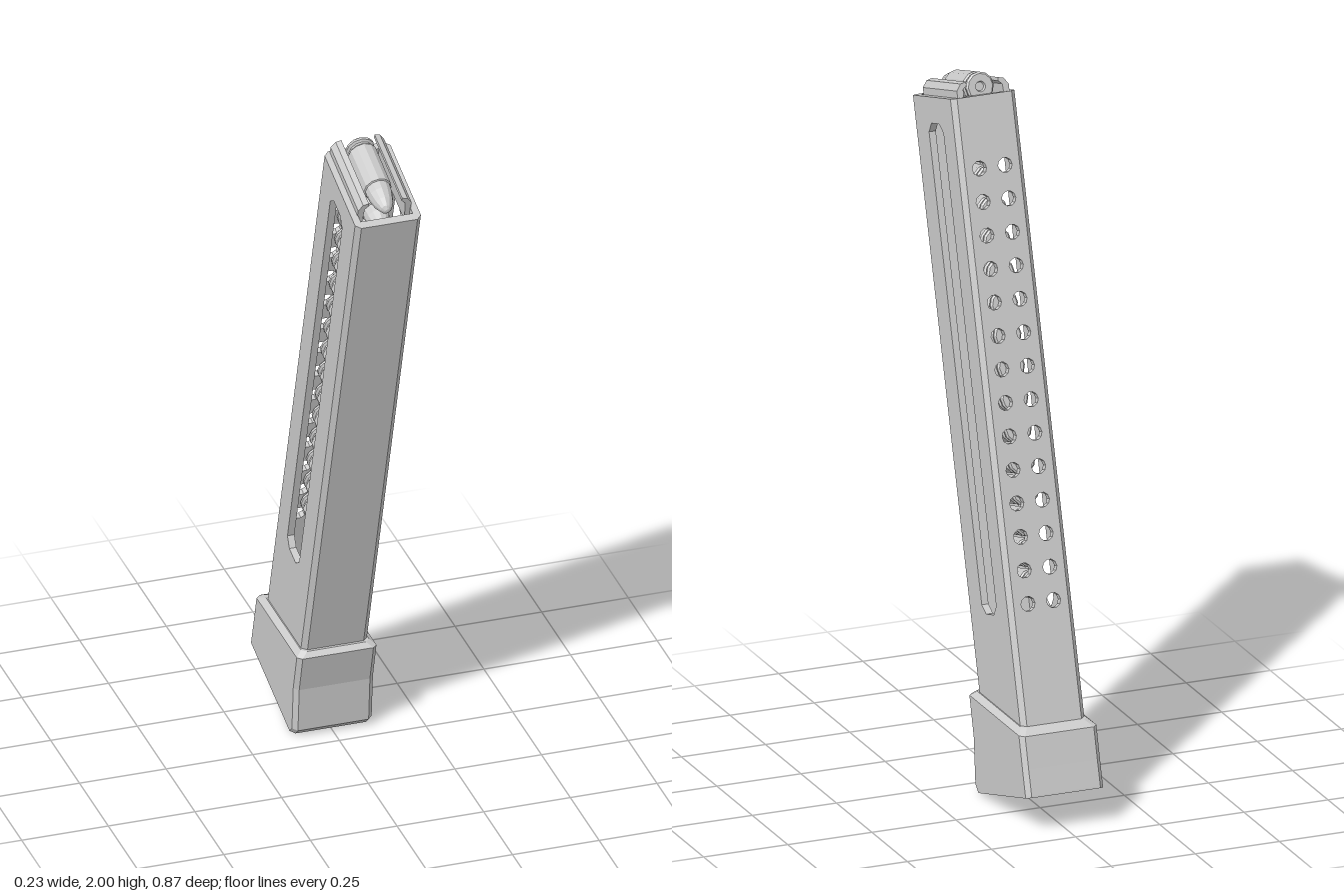
import * as THREE from 'three';

const mat = new THREE.MeshStandardMaterial({ color: 0xcccccc, flatShading: true, side: THREE.DoubleSide });
const TILT = THREE.MathUtils.degToRad(16.5);
const TOP = 1.908, BOTTOM = 0.12;       // body ends, measured along the tilted axis
const FRONT = -0.112, BACK = -0.415;    // body faces in the tilted frame
const HALF = 0.095, WALL = 0.02, CHAMFER = 0.014;

const outline = (pts, Type = THREE.Shape) => new Type(pts.map(p => new THREE.Vector2(...p)));
const extrude = (shape, depth) =>
  new THREE.ExtrudeGeometry(shape, { depth, bevelEnabled: false, curveSegments: 3 });

function add(parent, name, geometry) {
  const mesh = new THREE.Mesh(geometry, mat);
  mesh.name = name;
  parent.add(mesh);
  return mesh;
}

// Rectangle with cut corners
function cutRect(x0, y0, x1, y1, c) {
  return [[x0 + c, y0], [x1 - c, y0], [x1, y0 + c], [x1, y1 - c],
    [x1 - c, y1], [x0 + c, y1], [x0, y1 - c], [x0, y0 + c]];
}

// Plan profile (x, z) extruded down from the top of the body
function column(pts) {
  return extrude(outline(pts), TOP - BOTTOM).rotateX(Math.PI / 2).translate(0, TOP, 0);
}

// Loft through chamfered rings: [frontZ, frontY, backZ, backY, halfWidth]
function loft(rings, c) {
  const pos = [], index = [], n = 8;
  for (const [fz, fy, bz, by, w] of rings) {
    const plan = [[w, fz - c], [w, bz + c], [w - c, bz], [c - w, bz],
      [-w, bz + c], [-w, fz - c], [c - w, fz], [w - c, fz]];
    for (const [x, z] of plan) pos.push(x, by + (fy - by) * (z - bz) / (fz - bz), z);
  }
  for (let r = 0; r < rings.length - 1; r++) {
    for (let j = 0; j < n; j++) {
      const a = r * n + j, b = r * n + (j + 1) % n;
      index.push(a, b, b + n, a, b + n, a + n);
    }
  }
  const t = (rings.length - 1) * n;
  for (let j = 1; j < n - 1; j++) index.push(0, j + 1, j, t, t + j, t + j + 1);
  const g = new THREE.BufferGeometry();
  g.setAttribute('position', new THREE.Float32BufferAttribute(pos, 3));
  g.setIndex(index);
  const flat = g.toNonIndexed();
  flat.computeVertexNormals();
  return flat;
}

// Round lying along z, with rim, groove, case and pointed nose
function roundGeometry() {
  const profile = [[0, 0.008], [0.012, 0.008], [0.015, 0], [0.036, 0], [0.041, 0.005], [0.041, 0.012],
    [0.034, 0.016], [0.034, 0.022], [0.041, 0.03], [0.04, 0.168], [0.036, 0.17],
    [0.034, 0.195], [0.027, 0.225], [0.016, 0.247], [0.007, 0.255], [0, 0.257]];
  return new THREE.LatheGeometry(profile.map(p => new THREE.Vector2(...p)), 12).rotateX(Math.PI / 2);
}

export function createModel() {
  const model = new THREE.Group();
  model.name = 'magazine';
  const tilted = new THREE.Group();
  tilted.name = 'tiltedBody';
  tilted.rotation.x = TILT;
  model.add(tilted);

  // Side walls with long viewing slots
  const sideFront = FRONT - CHAMFER, sideBack = BACK + WALL;
  for (const side of [1, -1]) {
    const wall = outline([[sideBack, BOTTOM], [sideFront, BOTTOM], [sideFront, TOP], [sideBack, TOP]]);
    wall.holes.push(outline(cutRect(-0.321, 0.477, -0.215, 1.835, 0.025), THREE.Path));
    const g = extrude(wall, WALL).rotateY(-Math.PI / 2).translate(side > 0 ? HALF : WALL - HALF, 0, 0);
    add(tilted, side > 0 ? 'leftWall' : 'rightWall', g);
  }

  // Front wall with chamfered corners
  const inner = HALF - WALL, flat = HALF - CHAMFER;
  add(tilted, 'frontWall', column([[flat, FRONT], [HALF, sideFront], [inner, sideFront], [inner, FRONT - 0.025],
    [-inner, FRONT - 0.025], [-inner, sideFront], [-HALF, sideFront], [-flat, FRONT]]));

  // Back wall with two rows of witness holes, and its chamfered corners
  const back = outline([[-inner, BOTTOM], [inner, BOTTOM], [inner, TOP], [-inner, TOP]]);
  for (let i = 0; i < 14; i++) {
    for (const x of [-0.038, 0.038]) {
      const hole = [];
      for (let k = 0; k < 10; k++) {
        const a = k / 10 * Math.PI * 2;
        hole.push([x + 0.021 * Math.cos(a), 0.505 + i * 0.0926 + 0.021 * Math.sin(a)]);
      }
      back.holes.push(outline(hole, THREE.Path));
    }
  }
  add(tilted, 'backWall', extrude(back, WALL).translate(0, 0, BACK));
  for (const s of [1, -1]) {
    add(tilted, 'backCorner', column([[s * HALF, sideBack], [s * inner, sideBack], [s * inner, BACK],
      [s * flat, BACK], [s * HALF, BACK + CHAMFER]]));
  }

  // Feed lips curling in over the top round
  for (const s of [1, -1]) {
    const lip = [[0.077, 1.86], [0.077, 1.928], [0.064, 1.946], [0.048, 1.95],
      [0.047, 1.94], [0.058, 1.93], [0.063, 1.86]];
    add(tilted, 'feedLip', extrude(outline(lip.map(([x, y]) => [s * x, y])), 0.25).translate(0, 0, -0.41));
  }

  // Stack of rounds
  const round = roundGeometry();
  for (let i = 0; i < 17; i++) {
    add(tilted, 'round', round).position.set(0, 1.93 - i * 0.086, -0.394);
  }

  // Flared base with a bevelled upper edge
  add(model, 'basePad', loft([
    [-0.075, 0, -0.433, 0.105, 0.115],
    [-0.053, 0.02, -0.432, 0.11, 0.115],
    [-0.042, 0.154, -0.411, 0.18, 0.115],
    [-0.011, 0.268, -0.386, 0.268, 0.115],
    [-0.025, 0.282, -0.358, 0.282, 0.098],
  ], 0.013));

  return model;
}
